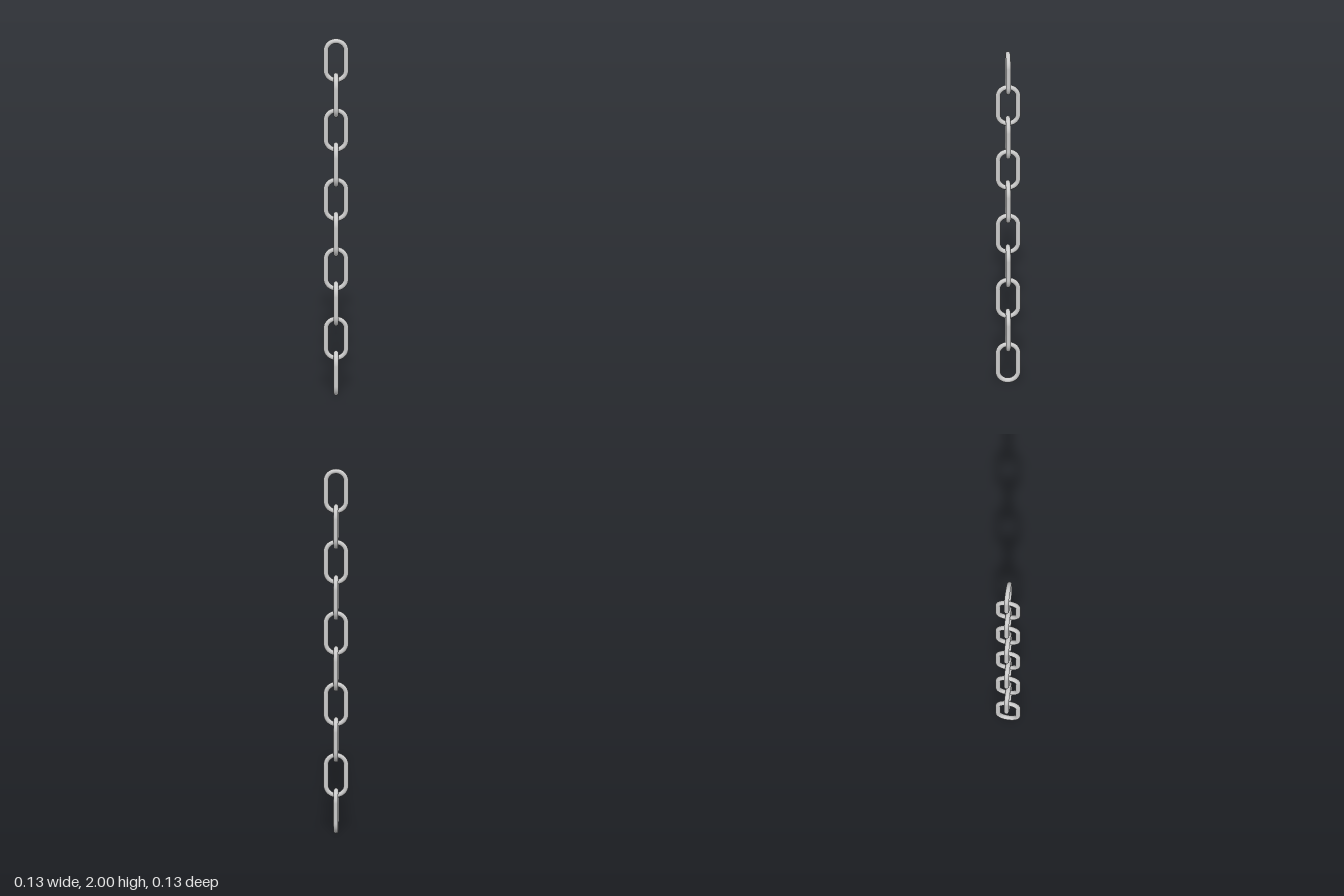
import * as THREE from 'three';
import { mergeGeometries } from 'three/addons/utils/BufferGeometryUtils.js';

const LINKS = 10;
const WIRE = 0.013; // wire radius
const BEND = 0.054; // centre-line radius of the rounded ends
const LENGTH = 0.245; // outer length of one link
const SIDE = LENGTH - 2 * (BEND + WIRE); // straight run between the ends
const PITCH = (2 - LENGTH) / (LINKS - 1);

// One oval link in the xy plane: two half rings joined by two straight rods
function linkGeometry() {
  const parts = [];
  for (const s of [1, -1]) {
    const end = new THREE.TorusGeometry(BEND, WIRE, 16, 20, Math.PI);
    if (s < 0) end.rotateZ(Math.PI);
    end.translate(0, s * SIDE / 2, 0);
    const rod = new THREE.CylinderGeometry(WIRE, WIRE, SIDE, 16, 1, true);
    rod.translate(s * BEND, 0, 0);
    parts.push(end, rod);
  }
  return mergeGeometries(parts);
}

export function createModel() {
  const chain = new THREE.Group();
  chain.name = 'chain';
  const geometry = linkGeometry();
  const material = new THREE.MeshStandardMaterial({ color: 0xcccccc });

  // Links hang from the top down, every second one turned a quarter
  for (let i = 0; i < LINKS; i++) {
    const link = new THREE.Mesh(geometry, material);
    link.name = `chainLink${i + 1}`;
    link.position.y = 2 - LENGTH / 2 - i * PITCH;
    link.rotation.y = (i % 2) * Math.PI / 2;
    chain.add(link);
  }
  return chain;
}
